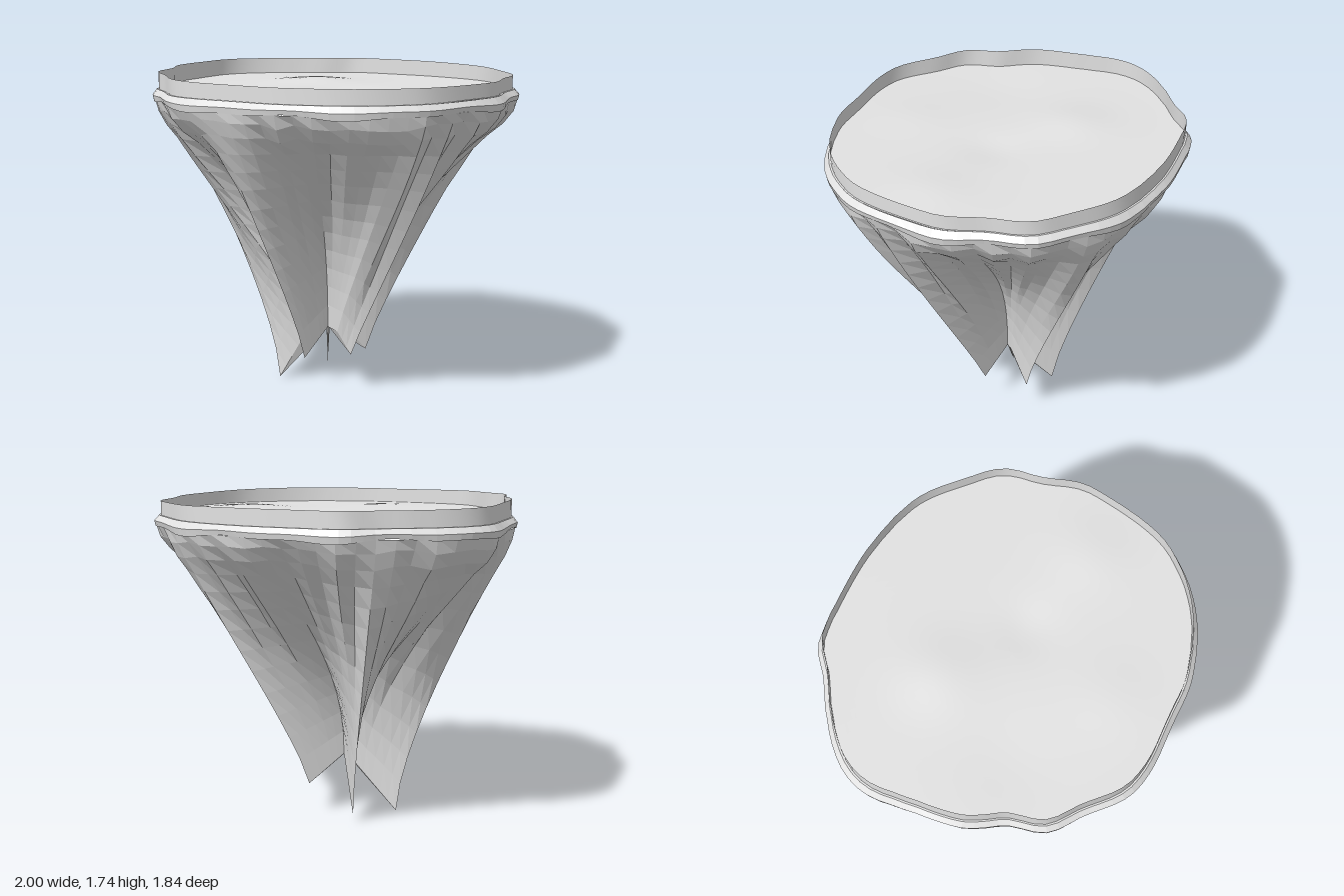
import * as THREE from 'three';

const TAU = Math.PI * 2;
const mix = THREE.MathUtils.lerp;
const V = (x, y, z) => new THREE.Vector3(x, y, z);

// Irregular outline of the slab as x, z pairs
const OUTLINE = [
  1, -0.11, 0.98, 0.24, 0.92, 0.4, 0.73, 0.64, 0.41, 0.82, 0.17, 0.87, -0.13, 0.92, -0.28, 0.9, -0.48, 0.78,
  -0.64, 0.69, -0.73, 0.51, -0.86, 0.35, -0.94, 0.11, -1, -0.16, -0.96, -0.32, -0.82, -0.51, -0.64, -0.68,
  -0.53, -0.8, -0.29, -0.87, 0.03, -0.92, 0.4, -0.89, 0.65, -0.75, 0.81, -0.63, 0.89, -0.43, 0.985, -0.24,
];
const HUB_Y = 0.32;
const TOP_Y = 1.6;

// Lines running down the rock, in order of angle (degrees): radius and height of the
// lower end, and the two exponents of the inward curve
const ridge = (deg, r, y, p) => ({ deg, r, y, q: 1.15, p });
const valley = (deg, p) => ({ deg, r: 0.015, y: HUB_Y, q: 1.3, p });
const LINES = [
  ridge(8.5, 0.2, 0.2, 1.08), ridge(24, 0.13, 0.32, 1.12), valley(52, 2.2),
  ridge(87, 0.2, 0.18, 1.2), valley(109, 2.2), ridge(128, 0.1, 0.33, 1.2),
  ridge(155, 0.286, 0, 1.5), valley(190, 1.9),
  ridge(226.5, 0.262, 0.04, 1.3), valley(263, 2.2),
  ridge(300, 0.22, 0.17, 1.2), ridge(317, 0.08, 0.34, 1.5), valley(338, 2.2),
];

function seeded(seed) {
  return () => {
    seed = (seed * 16807) % 2147483647;
    return seed / 2147483647;
  };
}

// Radius of the outline at a given angle
function makeRadius() {
  const pts = [];
  for (let i = 0; i < OUTLINE.length; i += 2) pts.push(V(OUTLINE[i], 0, OUTLINE[i + 1]));
  const samples = new THREE.CatmullRomCurve3(pts, true).getPoints(400)
    .map((p) => ({ a: Math.atan2(p.z, p.x), r: Math.hypot(p.x, p.z) }));
  return (angle) => {
    let best = samples[0], gap = 9;
    for (const q of samples) {
      const d = Math.abs(Math.atan2(Math.sin(q.a - angle), Math.cos(q.a - angle)));
      if (d < gap) { gap = d; best = q; }
    }
    return best.r;
  };
}

// Skin closed rings, listed from top to bottom
function loft(rings) {
  const n = rings[0].length, pos = [], index = [];
  rings.forEach((ring) => ring.forEach((p) => pos.push(p.x, p.y, p.z)));
  for (let i = 0; i < rings.length - 1; i++) {
    for (let j = 0; j < n; j++) {
      const k = (j + 1) % n, a = i * n + j, b = i * n + k, c = a + n, d = b + n;
      index.push(a, b, c, b, d, c);
    }
  }
  const g = new THREE.BufferGeometry();
  g.setAttribute('position', new THREE.Float32BufferAttribute(pos, 3));
  g.setIndex(index);
  return g;
}

export function createModel() {
  const group = new THREE.Group();
  const stone = new THREE.MeshStandardMaterial({ color: 0xe2e2e2, side: THREE.DoubleSide });
  stone.name = 'pale grey';
  const radius = makeRadius();
  const rand = seeded(77);

  const add = (name, geometry, flat) => {
    const g = flat ? geometry.toNonIndexed() : geometry;
    g.computeVertexNormals();
    const mesh = new THREE.Mesh(g, stone);
    mesh.name = name;
    group.add(mesh);
  };
  const N = 100;
  const ring = (scale, height) => Array.from({ length: N }, (_, j) => {
    const a = (j / N) * TAU, r = radius(a) * scale;
    const x = r * Math.cos(a), z = r * Math.sin(a);
    return V(x, height(x, z, a), z);
  });

  // Thin upright band around the top
  const bandTop = (x, z, a) => 1.735 - 0.008 * x + 0.003 * Math.sin(3 * a);
  add('rimBand', loft([ring(0.964, bandTop), ring(0.964, () => 1.645)]), false);

  // Sloping ledge and its outer edge
  const wave = (x, z, a) => 0.008 * Math.sin(7 * a) + 0.006 * Math.sin(13 * a + 1);
  add('ledge', loft([
    ring(0.974, () => 1.652),
    ring(1, (x, z, a) => 1.622 + 0.4 * wave(x, z, a)),
    ring(0.993, (x, z, a) => 1.592 + wave(x, z, a)),
  ]), true);

  // Ground with a few soft bumps and hollows
  const bumps = [[-0.3, -0.22, 0.022, 0.2], [0.15, 0, -0.015, 0.15], [0.68, 0.02, 0.018, 0.2], [0.1, 0.55, 0.01, 0.2], [-0.45, 0.35, -0.01, 0.25]];
  const ground = (x, z) => bumps.reduce(
    (y, [bx, bz, h, w]) => y + h * Math.exp(-((x - bx) ** 2 + (z - bz) ** 2) / (w * w)), 1.652);
  const groundRings = [];
  for (let i = 0; i <= 16; i++) groundRings.push(ring(0.974 * i / 16, ground));
  add('ground', loft(groundRings), false);

  // Columns of the rock: each line, then evenly spaced steps to the next one
  const columns = [];
  LINES.forEach((from, i) => {
    const next = LINES[(i + 1) % LINES.length];
    const to = i === LINES.length - 1 ? { ...next, deg: next.deg + 360 } : next;
    const steps = Math.round((to.deg - from.deg) / 6);
    for (let k = 0; k < steps; k++) {
      const fold = k === 0 ? 0 : 0.13 * (rand() - 0.5);
      columns.push({ from, to, w: k / steps, fold, peak: 0.6 + 0.25 * rand(), drop: rand() });
    }
  });

  const onLine = (line, s) => {
    const a = THREE.MathUtils.degToRad(line.deg), top = radius(a) * 0.99;
    const r = line.r + (top - line.r) * (1 - s ** line.q) ** line.p;
    return { a, share: r / top, p: V(r * Math.cos(a), mix(TOP_Y, line.y, s), r * Math.sin(a)) };
  };
  const rockPoint = (c, s) => {
    const u = onLine(c.from, s), v = onLine(c.to, s);
    const chord = u.p.clone().lerp(v.p, c.w);
    // Round near the slab, flat-sided fins lower down
    const a = mix(u.a, v.a, c.w), r = radius(a) * 0.99 * mix(u.share, v.share, c.w);
    const p = V(r * Math.cos(a), chord.y, r * Math.sin(a)).lerp(chord, Math.min(1, s * 2.2));
    // Secondary creases
    const k = 1 + c.fold * Math.sin(Math.PI * s ** c.peak);
    p.x *= k;
    p.z *= k;
    if (s > 0 && s < 0.12) p.y -= 0.03 * c.drop;
    return p;
  };
  const rockRings = [0, 0.035, 0.09, 0.16, 0.23, 0.3, 0.38, 0.46, 0.54, 0.63, 0.72, 0.81, 0.9, 1]
    .map((s) => columns.map((c) => rockPoint(c, s)));
  rockRings.push(columns.map(() => V(0, HUB_Y, 0)));
  add('rockFins', loft(rockRings), true);

  return group;
}
